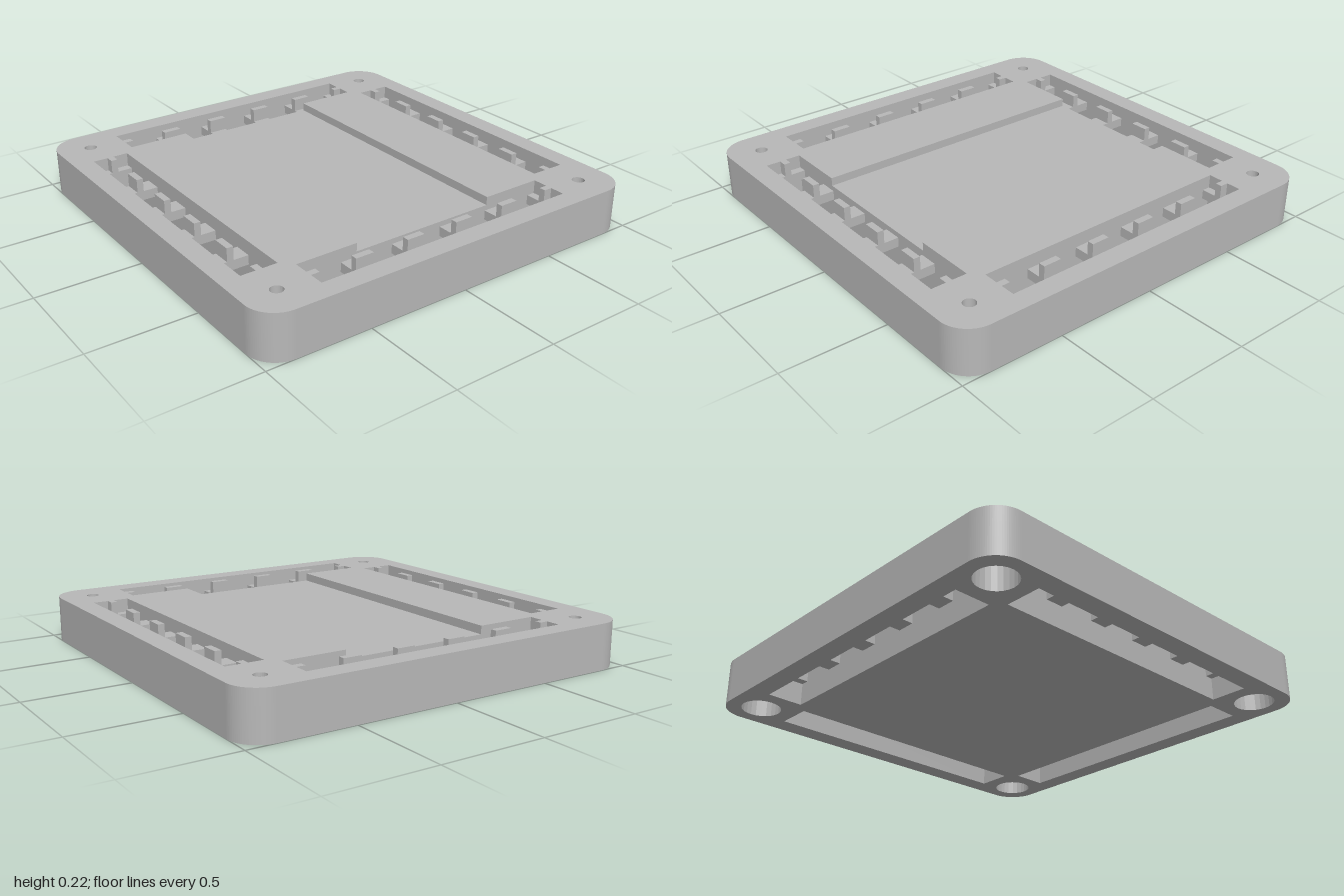
import * as THREE from 'three';

const H = 0.22;                       // total height
const SLOT_IN = 0.725, SLOT_OUT = 0.9, SLOT_END = 0.672;
const RECESS = 0.368, SCREW = 0.84;

const rect = (x0, y0, x1, y1) => new THREE.Path([
  [x0, y0], [x1, y0], [x1, y1], [x0, y1],
].map(([x, y]) => new THREE.Vector2(x, y)));

// Rounded square outline with four screw holes of the given radius
function outline(holeRadius) {
  const s = new THREE.Shape(), r = 0.14, c = 1 - r;
  s.absarc(c, c, r, 0, Math.PI / 2);
  s.absarc(-c, c, r, Math.PI / 2, Math.PI);
  s.absarc(-c, -c, r, Math.PI, Math.PI * 1.5);
  s.absarc(c, -c, r, Math.PI * 1.5, Math.PI * 2);
  for (const x of [-SCREW, SCREW]) for (const y of [-SCREW, SCREW]) {
    s.holes.push(new THREE.Path().absarc(x, y, holeRadius, 0, Math.PI * 2, true));
  }
  for (const k of [-1, 1]) {
    s.holes.push(rect(-SLOT_END, k * SLOT_IN, SLOT_END, k * SLOT_OUT));
  }
  return s;
}

// Side slots, separate in the lower layers
function addSideSlots(s) {
  for (const k of [-1, 1]) s.holes.push(rect(k * SLOT_IN, -SLOT_END, k * SLOT_OUT, SLOT_END));
  return s;
}

// Side slots joined by the shallow central recess in the top layer
function addRecess(s) {
  const a = SLOT_IN, b = SLOT_OUT, e = SLOT_END, r = RECESS;
  s.holes.push(new THREE.Path([
    [-b, -e], [-a, -e], [-a, -r], [a, -r], [a, -e], [b, -e],
    [b, e], [a, e], [a, r], [-a, r], [-a, e], [-b, e],
  ].map(([x, y]) => new THREE.Vector2(x, y))));
  return s;
}

export function createModel() {
  const model = new THREE.Group();
  model.name = 'slottedPlate';
  const grey = new THREE.MeshStandardMaterial({ color: 0xb8b8b8 });
  grey.name = 'grey';

  // Plate body in three stacked layers
  const layer = (name, shape, y0, y1) => {
    const g = new THREE.ExtrudeGeometry(shape, { depth: y1 - y0, bevelEnabled: false, curveSegments: 12 });
    g.rotateX(-Math.PI / 2).translate(0, y0, 0);
    const m = new THREE.Mesh(g, grey);
    m.name = name;
    model.add(m);
  };
  layer('counterboredBase', addSideSlots(outline(0.095)), 0, 0.15);
  layer('plateCore', addSideSlots(outline(0.03)), 0.15, 0.18);
  layer('topFrame', addRecess(outline(0.03)), 0.18, H);

  // Ribs crossing each slot, with a narrow raised ridge along the slot centre
  const mid = (SLOT_IN + SLOT_OUT) / 2, width = SLOT_OUT - SLOT_IN;
  for (let side = 0; side < 4; side++) {
    const ribs = new THREE.Group();
    ribs.name = 'slotRibs' + (side + 1);
    ribs.rotation.y = side * Math.PI / 2;
    const box = (name, x, len, y0, y1, w) => {
      const m = new THREE.Mesh(new THREE.BoxGeometry(len, y1 - y0, w), grey);
      m.name = name;
      m.position.set(x, (y0 + y1) / 2, mid);
      ribs.add(m);
    };
    for (const c of [-0.675, -0.405, -0.135, 0.135, 0.405, 0.675]) {
      const end = Math.abs(c) > 0.6;
      const len = end ? SLOT_END - 0.63 : 0.09;
      const x = end ? Math.sign(c) * (SLOT_END + 0.63) / 2 : c;
      box('rib', x, len, 0.11, 0.155, width);
      box('ridge', x, len, 0.155, H, 0.032);
    }
    model.add(ribs);
  }
  return model;
}
